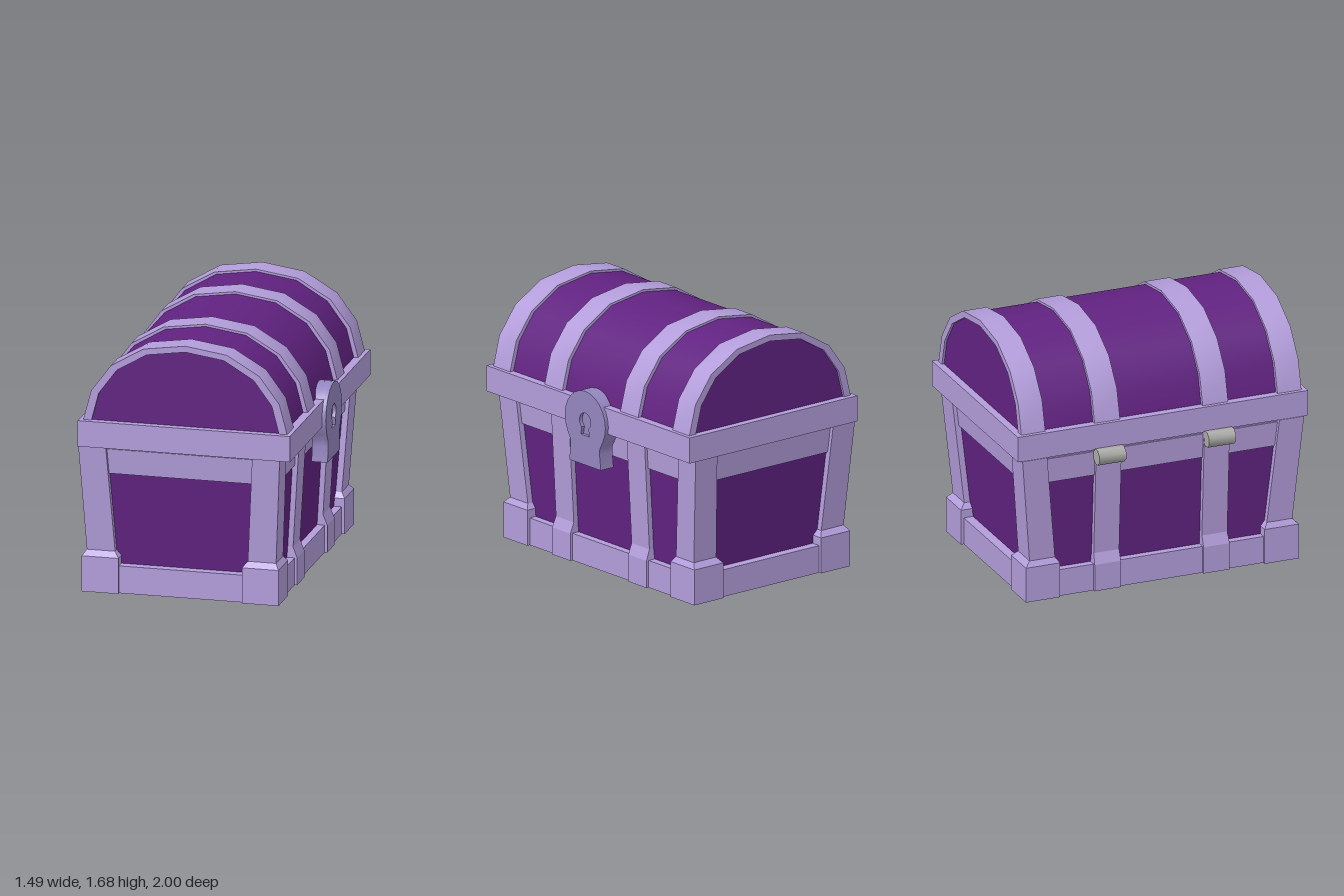
import * as THREE from 'three';
import { toCreasedNormals } from 'three/addons/utils/BufferGeometryUtils.js';

const mat = (name, color) => Object.assign(new THREE.MeshStandardMaterial({ color }), { name });

export function createModel() {
  const trim = mat('lilac trim', 0xb39ddb);
  const panel = mat('deep purple panel', 0x612281);
  const lockColor = mat('lock lilac', 0x9486c0);
  const grey = mat('grey', 0xacaca9);
  const trimGreyUnder = [trim, trim, trim, grey, trim, trim];

  const chest = new THREE.Group();
  chest.name = 'chest';
  const add = (name, geometry, material) => {
    const mesh = new THREE.Mesh(geometry, material);
    mesh.name = name;
    chest.add(mesh);
    return mesh;
  };

  // Block whose bottom and top rectangles [x0, x1, z0, z1] may differ
  const block = (name, material, y0, bottom, y1, top) => {
    const geo = new THREE.BoxGeometry(1, 1, 1);
    const p = geo.attributes.position;
    for (let i = 0; i < p.count; i++) {
      const up = p.getY(i) > 0;
      const r = up ? top : bottom;
      p.setXYZ(i, r[p.getX(i) > 0 ? 1 : 0], up ? y1 : y0, r[p.getZ(i) > 0 ? 3 : 2]);
    }
    geo.computeVertexNormals();
    return add(name, geo, material);
  };

  // The body flares upward: half sizes at height y
  const bodyX = -0.015;
  const hx = y => 0.62 + (y - 0.27) * 0.057;
  const hz = y => 0.905 + (y - 0.27) * 0.092;
  const ring = (y, inset) => [bodyX - hx(y) + inset, bodyX + hx(y) - inset, -hz(y) + inset, hz(y) - inset];
  const tier = (name, material, y0, y1, inset) => block(name, material, y0, ring(y0, inset), y1, ring(y1, inset));
  // Rectangle between two distances from the centre, placed on the given sides
  const span = (sx, xi, xo, sz, zi, zo) => [
    bodyX + (sx > 0 ? xi : -xo), bodyX + (sx > 0 ? xo : -xi),
    sz > 0 ? zi : -zo, sz > 0 ? zo : -zi];

  // Body panels, base plinth and upper rail
  tier('bodyPanels', panel, 0.02, 0.96, 0.04);
  tier('upperRail', trim, 0.79, 0.955, 0.025);
  tier('bodyLip', trim, 0.955, 0.98, 0.035);
  const plinth = [bodyX - 0.625, bodyX + 0.625, -0.92, 0.92];
  block('plinth', trimGreyUnder, 0, plinth, 0.18, plinth);

  for (const sx of [-1, 1]) for (const sz of [-1, 1]) {
    // Corner foot with chamfered top, and leaning corner post
    const foot = span(sx, 0.405, 0.645, sz, 0.705, 0.94);
    const postLow = span(sx, 0.435, hx(0.27), sz, 0.73, hz(0.27));
    block('cornerFoot', trimGreyUnder, 0, foot, 0.235, foot);
    block('footChamfer', trim, 0.235, foot, 0.27, postLow);
    block('cornerPost', trim, 0.27, postLow, 0.975, span(sx, 0.48, hx(0.975), sz, 0.8, hz(0.975)));

    // Side strap with its own stepped foot
    const strap = y => span(sx, 0.5, hx(y) - 0.005, sz, 0.285, 0.46);
    const strapFoot = span(sx, 0.5, 0.642, sz, 0.285, 0.465);
    block('strapFoot', trimGreyUnder, 0, strapFoot, 0.18, strapFoot);
    block('strapChamfer', trim, 0.18, strapFoot, 0.25, strap(0.25));
    block('sideStrap', trim, 0.25, strap(0.25), 0.975, strap(0.975));
  }

  // Lid rim
  const rim = [-0.67, 0.72, -1, 1];
  block('lidRim', trim, 0.975, rim, 1.145, rim);

  // Domed lid
  const half = [[0.668, 1.145], [0.617, 1.34], [0.487, 1.515], [0.275, 1.64], [0, 1.68]];
  const dome = (kx, ky) => {
    const right = half.map(([x, y]) => new THREE.Vector2(x * kx, 1.145 + (y - 1.145) * ky));
    const left = right.slice(0, -1).reverse().map(v => new THREE.Vector2(-v.x, v.y));
    return [...right, ...left].map(v => v.add(new THREE.Vector2(0.025, 0)));
  };
  const arch = (name, material, shape, z0, z1) => {
    const geo = new THREE.ExtrudeGeometry(shape, { depth: z1 - z0, bevelEnabled: false });
    geo.translate(0, 0, z0);
    add(name, toCreasedNormals(geo, 0.6), material);
  };
  arch('lidDome', panel, new THREE.Shape(dome(0.958, 0.972)), -0.95, 0.95);
  const bandShape = new THREE.Shape([...dome(1, 1), ...dome(0.92, 0.925).reverse()]);
  for (const [a, b] of [[0.285, 0.46], [0.8, 0.965]]) {
    arch('lidBand', trim, bandShape, a, b);
    arch('lidBand', trim, bandShape, -b, -a);
  }

  // Lock plate with a recessed keyhole
  const lockShape = () => {
    const s = new THREE.Shape();
    s.moveTo(-0.155, 0.73);
    s.lineTo(0.155, 0.73);
    s.lineTo(0.143, 0.83);
    s.lineTo(0.145, 0.87);
    s.absarc(0, 1.02, 0.2, -Math.PI / 6, Math.PI * 7 / 6, false);
    s.lineTo(-0.145, 0.87);
    s.lineTo(-0.143, 0.83);
    return s;
  };
  const keyhole = new THREE.Path();
  keyhole.moveTo(-0.042, 0.925);
  keyhole.lineTo(0.042, 0.925);
  keyhole.absarc(0, 1.02, 0.055, -Math.PI / 3.4, Math.PI * (1 + 1 / 3.4), false);
  keyhole.closePath();
  const plate = (name, shape, x0, x1) => {
    const geo = new THREE.ExtrudeGeometry(shape, { depth: x1 - x0, bevelEnabled: false, curveSegments: 8 });
    geo.rotateY(Math.PI / 2).translate(x0, 0, 0);
    add(name, toCreasedNormals(geo, 0.6), lockColor);
  };
  plate('lockBack', lockShape(), 0.64, 0.722);
  const face = lockShape();
  face.holes.push(keyhole);
  plate('lockFace', face, 0.722, 0.745);

  // Hinge barrels
  for (const s of [-1, 1]) {
    const geo = new THREE.CylinderGeometry(0.054, 0.054, 0.185, 8);
    geo.rotateY(Math.PI / 8).rotateX(Math.PI / 2);
    add('hinge', toCreasedNormals(geo, 0.9), grey).position.set(-0.697, 0.935, s * 0.378);
  }
  return chest;
}
